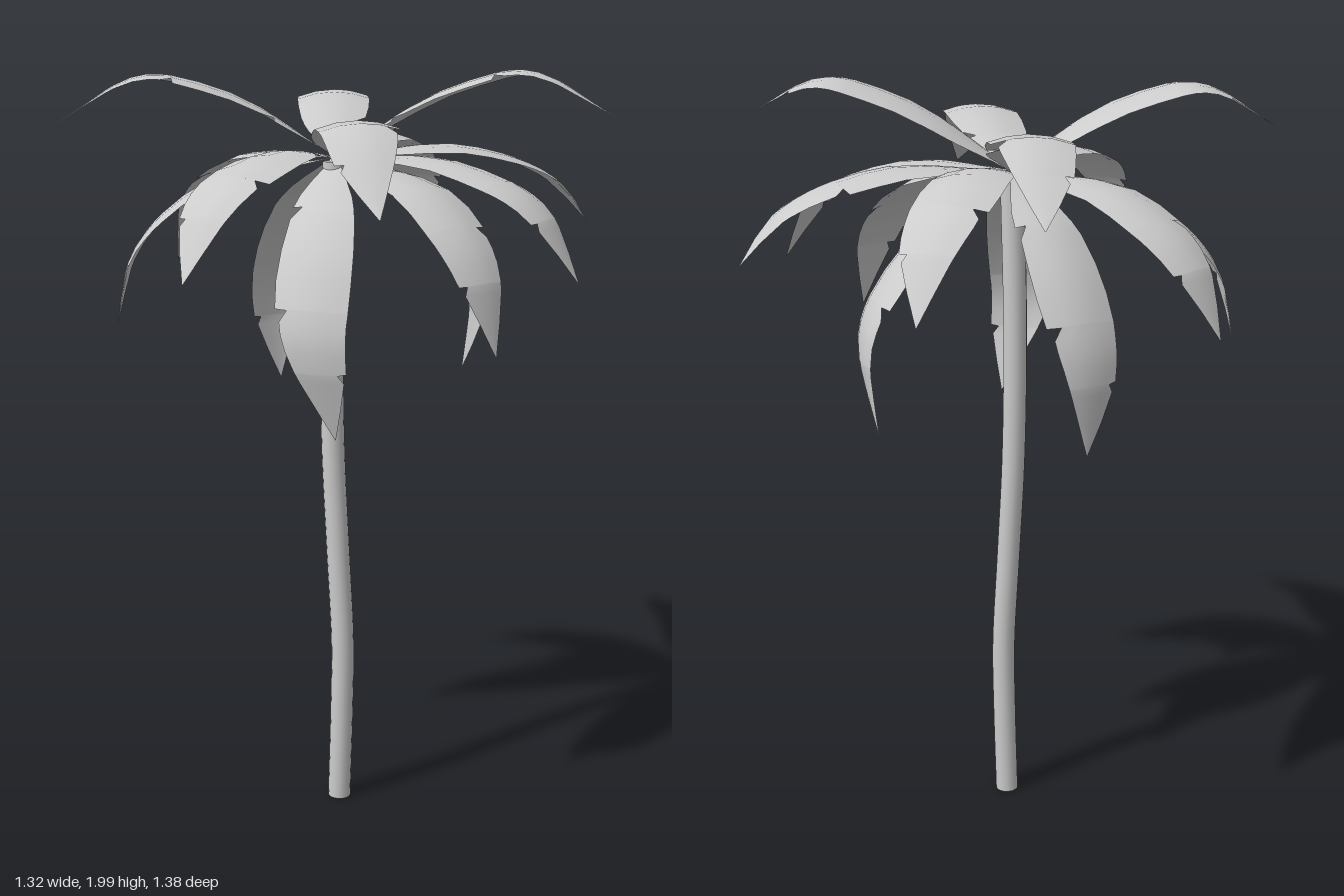
import * as THREE from 'three';

const material = new THREE.MeshStandardMaterial({ color: 0xcccccc });
const leafMaterial = new THREE.MeshStandardMaterial({ color: 0xcccccc, side: THREE.DoubleSide });
const ROOT = new THREE.Vector3(-0.05, 1.77, 0.015);
const UP = new THREE.Vector3(0, 1, 0);

// Leaf outline: [distance along leaf, full half-width, slim half-width], with torn notches
const OUTLINE = [
  [0, 0.01, 0.01], [0.06, 0.027, 0.027], [0.12, 0.05, 0.05], [0.18, 0.07, 0.07],
  [0.24, 0.083, 0.082], [0.244, 0.083, 0.055], [0.29, 0.09, 0.083], [0.4, 0.098, 0.094],
  [0.5, 0.102, 0.097], [0.59, 0.101, 0.092], [0.594, 0.101, 0.056], [0.63, 0.098, 0.078],
  [0.67, 0.095, 0.075], [0.72, 0.09, 0.067], [0.78, 0.082, 0.055], [0.784, 0.06, 0.054],
  [0.81, 0.07, 0.048], [0.9, 0.039, 0.026], [1, 0.001, 0.001],
];

// Each frond: tip x, y, z, two points on its arc as [fraction of reach, height],
// whether its full half lies on the left when looking outward, and its sideways turn
const FRONDS = [
  // rising
  [[0.66, 1.88, -0.07], [0.42, 1.95], [0.68, 1.993], true, 0],
  [[-0.66, 1.86, 0.37], [0.4, 1.94], [0.68, 1.98], false, 0],
  [[0.31, 1.69, 0.63], [0.35, 1.86], [0.62, 1.885], false, 0],
  [[-0.34, 1.76, -0.67], [0.3, 1.87], [0.6, 1.92], true, 0],
  // spreading
  [[-0.15, 1.53, 0.685], [0.42, 1.8], [0.8, 1.71], false, 0],
  [[-0.05, 1.53, -0.69], [0.48, 1.81], [0.82, 1.7], false, 0],
  [[0.62, 1.49, 0.09], [0.5, 1.77], [0.84, 1.67], false, 0],
  [[-0.65, 1.44, -0.25], [0.56, 1.75], [0.88, 1.61], false, 0],
  [[0.5, 1.58, -0.44], [0.52, 1.79], [0.85, 1.7], false, 0],
  // drooping
  [[0.47, 1.33, 0.27], [0.66, 1.69], [0.92, 1.53], false, 0],
  [[-0.6, 1.32, 0.2], [0.63, 1.69], [0.91, 1.53], true, 0],
  [[0.17, 1.16, -0.375], [0.6, 1.63], [0.97, 1.4], false, -0.4],
  [[-0.33, 1.12, -0.25], [0.6, 1.62], [1.0, 1.36], true, 0],
  [[0.07, 1.1, 0.31], [0.77, 1.6], [1.13, 1.35], true, -0.38],
];

function frondGeometry([tipXYZ, a, b, fullOnLeft, turn]) {
  const tip = new THREE.Vector3(...tipXYZ);
  const reach = tip.clone().sub(ROOT).setY(0);
  const arcPoint = ([f, y]) => reach.clone().multiplyScalar(f).applyAxisAngle(UP, turn / 2).add(ROOT).setY(y);
  const curve = new THREE.CatmullRomCurve3([ROOT.clone(), arcPoint(a), arcPoint(b), tip], false, 'chordal');
  const side = new THREE.Vector3(reach.z, 0, -reach.x).normalize().applyAxisAngle(UP, turn);
  const positions = [], index = [], across = 4;

  OUTLINE.forEach(([t, full, slim], row) => {
    const centre = curve.getPointAt(t);
    const normal = curve.getTangentAt(t).cross(side).normalize();
    for (let j = 0; j <= across; j++) {
      const s = (j / across) * 2 - 1;
      const width = s * ((s > 0) === fullOnLeft ? full : slim);
      // edges fold slightly below the midrib
      const p = centre.clone().addScaledVector(side, width).addScaledVector(normal, -1.9 * width * width);
      positions.push(p.x, p.y, p.z);
      if (row && j) {
        const k = row * (across + 1) + j, m = k - across - 1;
        index.push(m - 1, m, k - 1, m, k, k - 1);
      }
    }
  });
  const geometry = new THREE.BufferGeometry();
  geometry.setAttribute('position', new THREE.Float32BufferAttribute(positions, 3));
  geometry.setIndex(index);
  geometry.computeVertexNormals();
  return geometry;
}

export function createModel() {
  const model = new THREE.Group();
  model.name = 'palmTree';

  // Gently swaying trunk
  const path = new THREE.CatmullRomCurve3([
    [-0.038, 0], [-0.03, 0.25], [-0.027, 0.45], [-0.04, 0.72],
    [-0.053, 1.0], [-0.056, 1.35], [-0.046, 1.76],
  ].map(([x, y]) => new THREE.Vector3(x, y, 0.03)));
  const trunk = new THREE.Mesh(new THREE.TubeGeometry(path, 32, 0.031, 16), material);
  trunk.name = 'trunk';
  model.add(trunk);

  // Trunk ends
  [[0, 'trunkBase', Math.PI / 2], [1, 'trunkTop', -Math.PI / 2]].forEach(([t, name, tilt]) => {
    const cap = new THREE.Mesh(new THREE.CircleGeometry(0.031, 16), material);
    cap.name = name;
    cap.position.copy(path.getPoint(t));
    cap.rotation.x = tilt;
    model.add(cap);
  });

  // Crown of fronds
  const crown = new THREE.Group();
  crown.name = 'crown';
  FRONDS.forEach((frond, i) => {
    const leaf = new THREE.Mesh(frondGeometry(frond), leafMaterial);
    leaf.name = `frond${i + 1}`;
    crown.add(leaf);
  });
  model.add(crown);
  return model;
}
